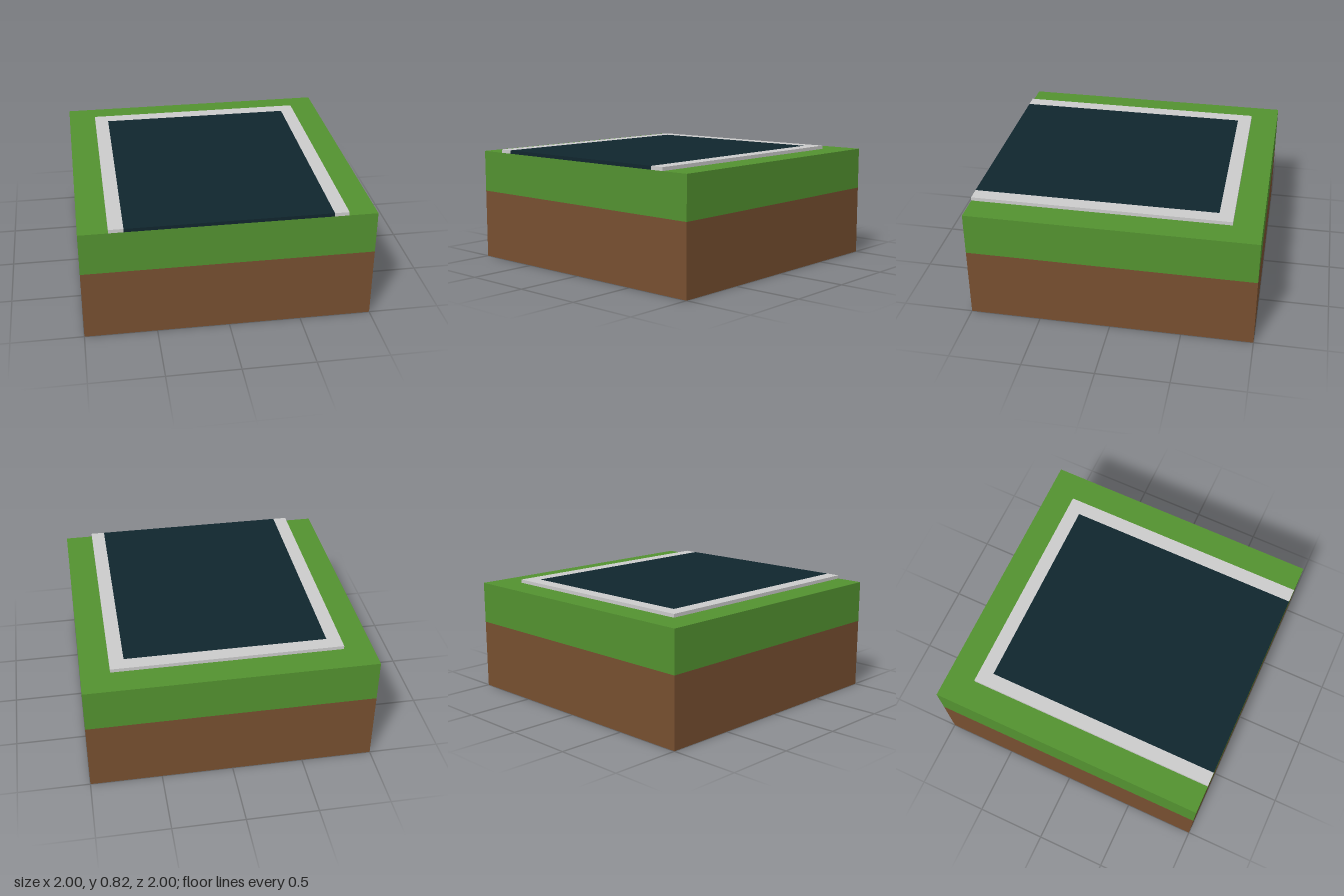
import * as THREE from 'three';

const paint = (color) => new THREE.MeshStandardMaterial({ color });

// Box given by its minimum and maximum corners
function block(name, [x0, y0, z0], [x1, y1, z1], material) {
  const mesh = new THREE.Mesh(new THREE.BoxGeometry(x1 - x0, y1 - y0, z1 - z0), material);
  mesh.position.set((x0 + x1) / 2, (y0 + y1) / 2, (z0 + z1) / 2);
  mesh.name = name;
  return mesh;
}

export function createModel() {
  const group = new THREE.Group();
  group.name = 'roadEndTile';

  const soilTop = 0.5, grassTop = 0.8, roadTop = 0.825;
  const outer = 0.8, inner = 0.7;

  // Ground layers
  group.add(block('soil', [-1, 0, -1], [1, soilTop, 1], paint(0x774f30)));
  group.add(block('grass', [-1, soilTop, -1], [1, grassTop, 1], paint(0x539230)));

  // Road surface, open at the front edge
  group.add(block('road', [-inner, grassTop, -inner], [inner, roadTop, 1], paint(0x10262e)));

  // One-piece U-shaped kerb around the closed end
  const outline = new THREE.Shape([
    [-outer, -1], [-inner, -1], [-inner, inner], [inner, inner],
    [inner, -1], [outer, -1], [outer, outer], [-outer, outer],
  ].map(([x, y]) => new THREE.Vector2(x, y)));
  const kerbGeometry = new THREE.ExtrudeGeometry(outline, { depth: roadTop - grassTop, bevelEnabled: false });
  kerbGeometry.rotateX(-Math.PI / 2);
  const kerb = new THREE.Mesh(kerbGeometry, paint(0xcccccc));
  kerb.position.y = grassTop;
  kerb.name = 'kerb';
  group.add(kerb);

  return group;
}
